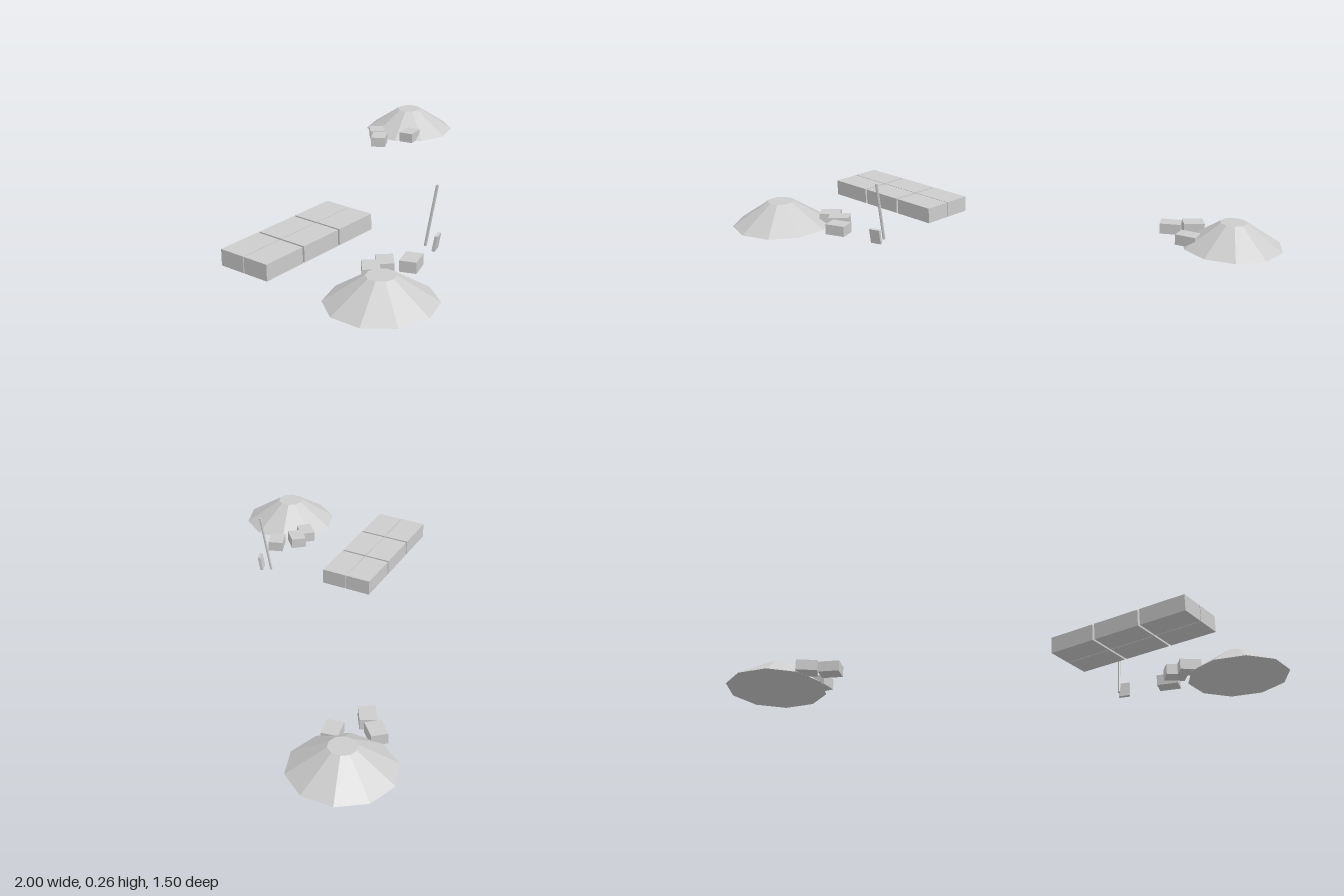
import * as THREE from 'three';

export function createModel() {
  const model = new THREE.Group();
  const grey = new THREE.MeshStandardMaterial({ color: 0xcccccc, flatShading: true });
  grey.name = 'stone grey';

  const add = (parent, name, geometry, x, y, z, yaw = 0) => {
    const mesh = new THREE.Mesh(geometry, grey);
    mesh.name = name;
    mesh.position.set(x, y, z);
    mesh.rotation.y = yaw;
    parent.add(mesh);
    return mesh;
  };

  // Two ten-sided heaps in opposite corners
  const mound = new THREE.CylinderGeometry(0.056, 0.21, 0.103, 10);
  add(model, 'frontMound', mound, -0.8, 0.0595, 0.54);
  add(model, 'backMound', mound, 0.8, 0.0595, -0.54);

  // Stack of blocks, three columns by two rows
  const stack = new THREE.Group();
  stack.name = 'blockStack';
  const block = new THREE.BoxGeometry(0.196, 0.067, 0.113);
  for (const x of [-0.83, -0.625, -0.42]) {
    for (const z of [-0.058, 0.058]) add(stack, 'block', block, x, 0.0435, z);
  }
  model.add(stack);

  // Loose bricks beside each heap: x, z, yaw
  const brick = new THREE.BoxGeometry(0.088, 0.045, 0.067);
  const bricks = [
    [-0.517, 0.46, 0.34], [-0.59, 0.392, 0.72], [-0.66, 0.382, 0.72],
    [0.516, -0.505, 0.52], [0.584, -0.573, 0.74], [0.656, -0.428, 0.19],
  ];
  for (const [x, z, yaw] of bricks) add(model, 'looseBrick', brick, x, 0.0325, z, yaw);

  // Leaning shovel: handle with a separate blade in front of its foot
  const shovel = new THREE.Group();
  shovel.name = 'shovel';
  shovel.position.set(-0.32, 0.01, 0.38);
  shovel.rotation.set(0.18, 0.3, 0, 'YXZ');
  add(shovel, 'handle', new THREE.CylinderGeometry(0.006, 0.006, 0.262, 6), 0, 0.131, 0);
  add(shovel, 'blade', new THREE.BoxGeometry(0.047, 0.065, 0.012), -0.011, 0.036, 0.043);
  model.add(shovel);

  return model;
}
